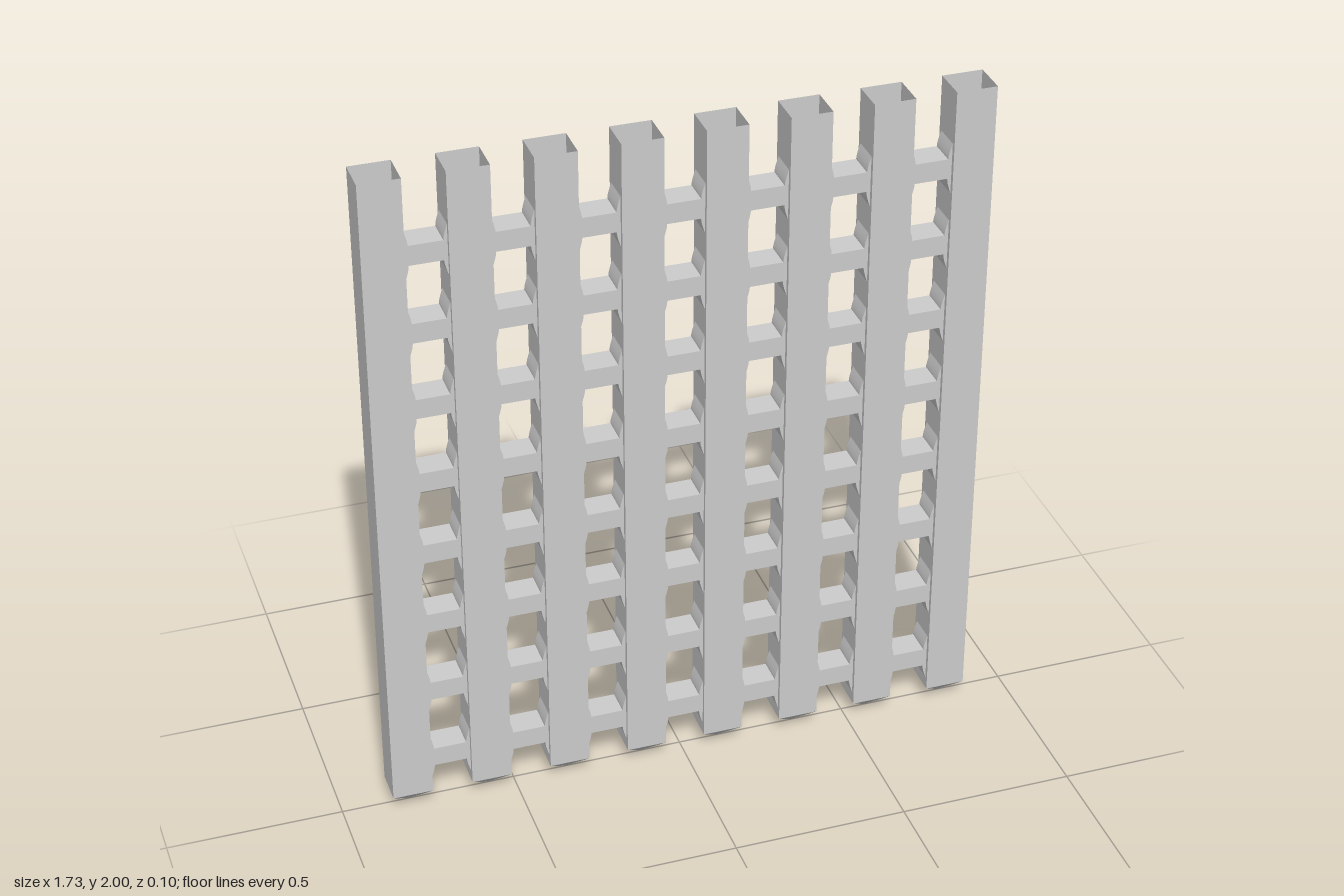
import * as THREE from 'three';

const COUNT = 8, PITCH = 0.23;
const BAR_W = 0.115, BAR_D = 0.104, HEIGHT = 2, TIP = 0.052;
const RAIL_H = 0.058, RAIL_D = 0.08, FIRST_RAIL = 0.16;

// Hollow square bar, open at the top and pointed at the bottom
function barGeometry() {
  const r = Math.SQRT1_2;
  const profile = [[0, 0], [r, TIP], [r, HEIGHT]].map(([x, y]) => new THREE.Vector2(x, y));
  return new THREE.LatheGeometry(profile, 4, Math.PI / 4).scale(BAR_W, 1, BAR_D);
}

// Short rail between two bars, flaring where it meets them
function railGeometry() {
  const a = (PITCH - BAR_W) / 2, h = RAIL_H / 2, fx = 0.011, fy = 0.045;
  const s = new THREE.Shape();
  s.moveTo(-a, -h - fy);
  s.quadraticCurveTo(-a + fx, -h - fy * 0.3, -a + fx, -h);
  s.lineTo(a - fx, -h);
  s.quadraticCurveTo(a - fx, -h - fy * 0.3, a, -h - fy);
  s.lineTo(a, h + fy);
  s.quadraticCurveTo(a - fx, h + fy * 0.3, a - fx, h);
  s.lineTo(-a + fx, h);
  s.quadraticCurveTo(-a + fx, h + fy * 0.3, -a, h + fy);
  s.closePath();
  return new THREE.ExtrudeGeometry(s, { depth: RAIL_D, bevelEnabled: false, curveSegments: 5 })
    .translate(0, 0, -RAIL_D / 2);
}

export function createModel() {
  const model = new THREE.Group();
  model.name = 'portcullis';
  const barMat = new THREE.MeshStandardMaterial({ color: 0xcccccc, flatShading: true, side: THREE.DoubleSide });
  const railMat = new THREE.MeshStandardMaterial({ color: 0xcccccc });
  const barGeo = barGeometry(), railGeo = railGeometry();

  // Upright bars
  const bars = new THREE.Group();
  bars.name = 'uprightBars';
  for (let i = 0; i < COUNT; i++) {
    const bar = new THREE.Mesh(barGeo, barMat);
    bar.name = 'uprightBar';
    bar.position.x = (i - (COUNT - 1) / 2) * PITCH;
    bars.add(bar);
  }

  // Rows of rails filling the gaps
  const rails = new THREE.Group();
  rails.name = 'crossRails';
  for (let row = 0; row < COUNT; row++) {
    for (let gap = 0; gap < COUNT - 1; gap++) {
      const rail = new THREE.Mesh(railGeo, railMat);
      rail.name = 'crossRail';
      rail.position.set((gap - (COUNT - 2) / 2) * PITCH, FIRST_RAIL + row * PITCH, 0);
      rails.add(rail);
    }
  }

  model.add(bars, rails);
  return model;
}
